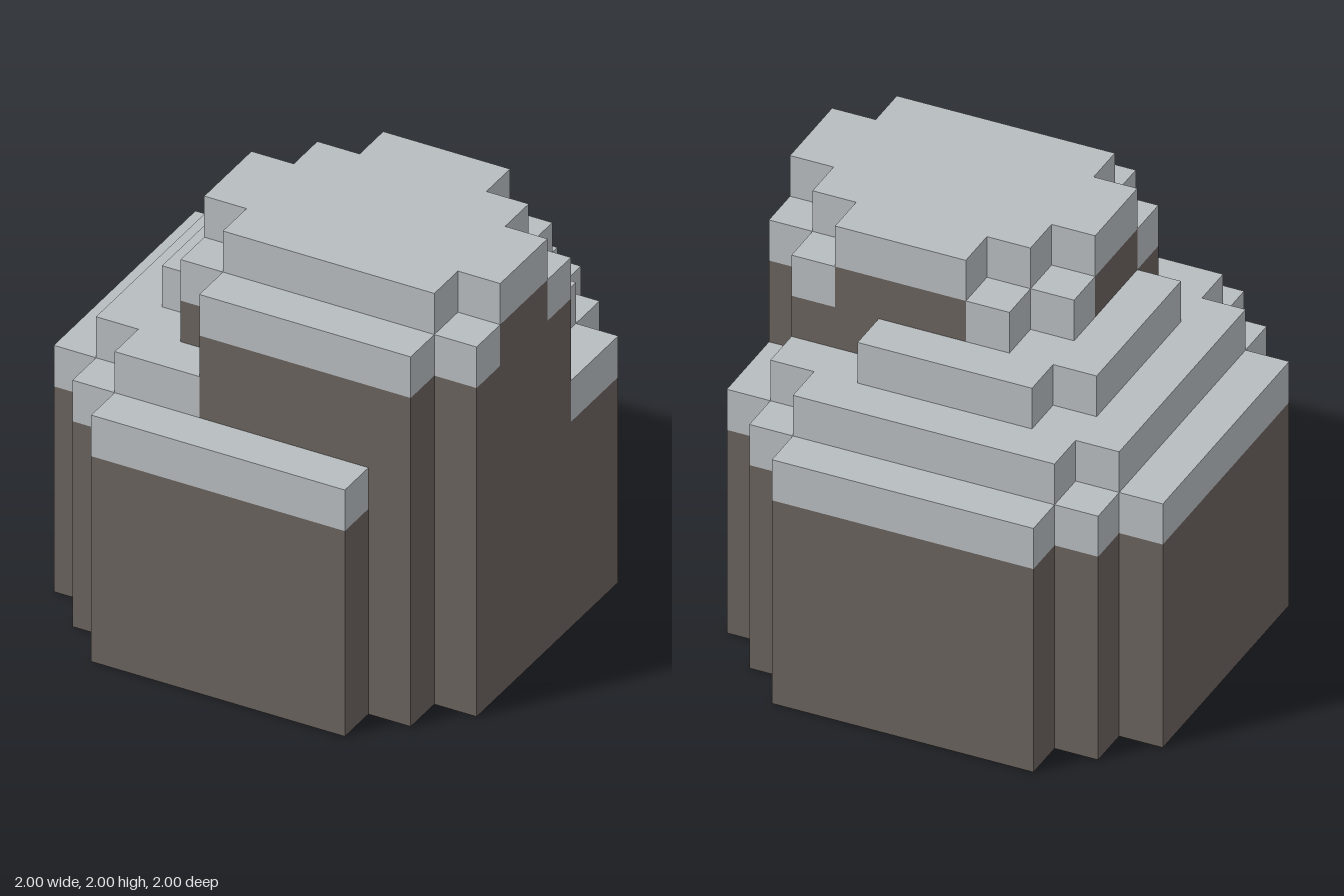
import * as THREE from 'three';
import { mergeGeometries } from 'three/addons/utils/BufferGeometryUtils.js';

const CELL = 0.2;

// Terrace heights in cells, back row first, left to right along +x (A = 10)
const ROWS = [
  '..666666..',
  '.67777776.',
  '6778888776',
  '67889AAA96',
  '6789AAAAA9',
  '678AAAAAAA',
  '678AAAAAAA',
  '6779AAAAA9',
  '.67799999.',
  '..666666..',
];

const NAMES = { 6: 'lowestTerrace', 7: 'lowerTerrace', 8: 'middleTerrace', 9: 'upperTerrace', 10: 'summit' };

// Cell steps towards each wall, with the turn that makes a plane face that way
const SIDES = [
  { dx: 0, dz: 1, turn: 0 },
  { dx: 1, dz: 0, turn: Math.PI / 2 },
  { dx: 0, dz: -1, turn: Math.PI },
  { dx: -1, dz: 0, turn: -Math.PI / 2 },
];

function heightAt(col, row) {
  const c = ROWS[row]?.[col];
  return c === undefined || c === '.' ? 0 : parseInt(c, 16);
}

// Upright face on one side of a cell, spanning two heights
function wall(x, z, side, from, to) {
  return new THREE.PlaneGeometry(CELL, (to - from) * CELL)
    .translate(0, 0, CELL / 2)
    .rotateY(side.turn)
    .translate(x, ((from + to) / 2) * CELL, z);
}

// Level face, looking up (dir 1) or down (dir -1)
function floor(x, y, z, dir) {
  return new THREE.PlaneGeometry(CELL, CELL).rotateX((-dir * Math.PI) / 2).translate(x, y, z);
}

export function createModel() {
  const stone = new THREE.MeshStandardMaterial({ color: 0x69625c });
  stone.name = 'brownStone';
  const cap = new THREE.MeshStandardMaterial({ color: 0xb7bcbf });
  cap.name = 'paleGreyCap';

  const model = new THREE.Group();
  model.name = 'steppedRock';

  for (const [key, name] of Object.entries(NAMES)) {
    const level = Number(key);
    const capFaces = [];
    const stoneFaces = [];

    for (let row = 0; row < 10; row++) {
      for (let col = 0; col < 10; col++) {
        if (heightAt(col, row) !== level) continue;
        const x = (col - 4.5) * CELL;
        const z = (row - 4.5) * CELL;

        // Pale top and the underside
        capFaces.push(floor(x, level * CELL, z, 1));
        stoneFaces.push(floor(x, 0, z, -1));

        // Exposed walls: one cell of pale cap, stone below it
        for (const side of SIDES) {
          const next = heightAt(col + side.dx, row + side.dz);
          if (next < level) capFaces.push(wall(x, z, side, level - 1, level));
          if (next < level - 1) stoneFaces.push(wall(x, z, side, next, level - 1));
        }
      }
    }

    const terrace = new THREE.Group();
    terrace.name = name;
    const capMesh = new THREE.Mesh(mergeGeometries(capFaces), cap);
    capMesh.name = name + 'Cap';
    const stoneMesh = new THREE.Mesh(mergeGeometries(stoneFaces), stone);
    stoneMesh.name = name + 'Stone';
    terrace.add(capMesh, stoneMesh);
    model.add(terrace);
  }

  return model;
}
